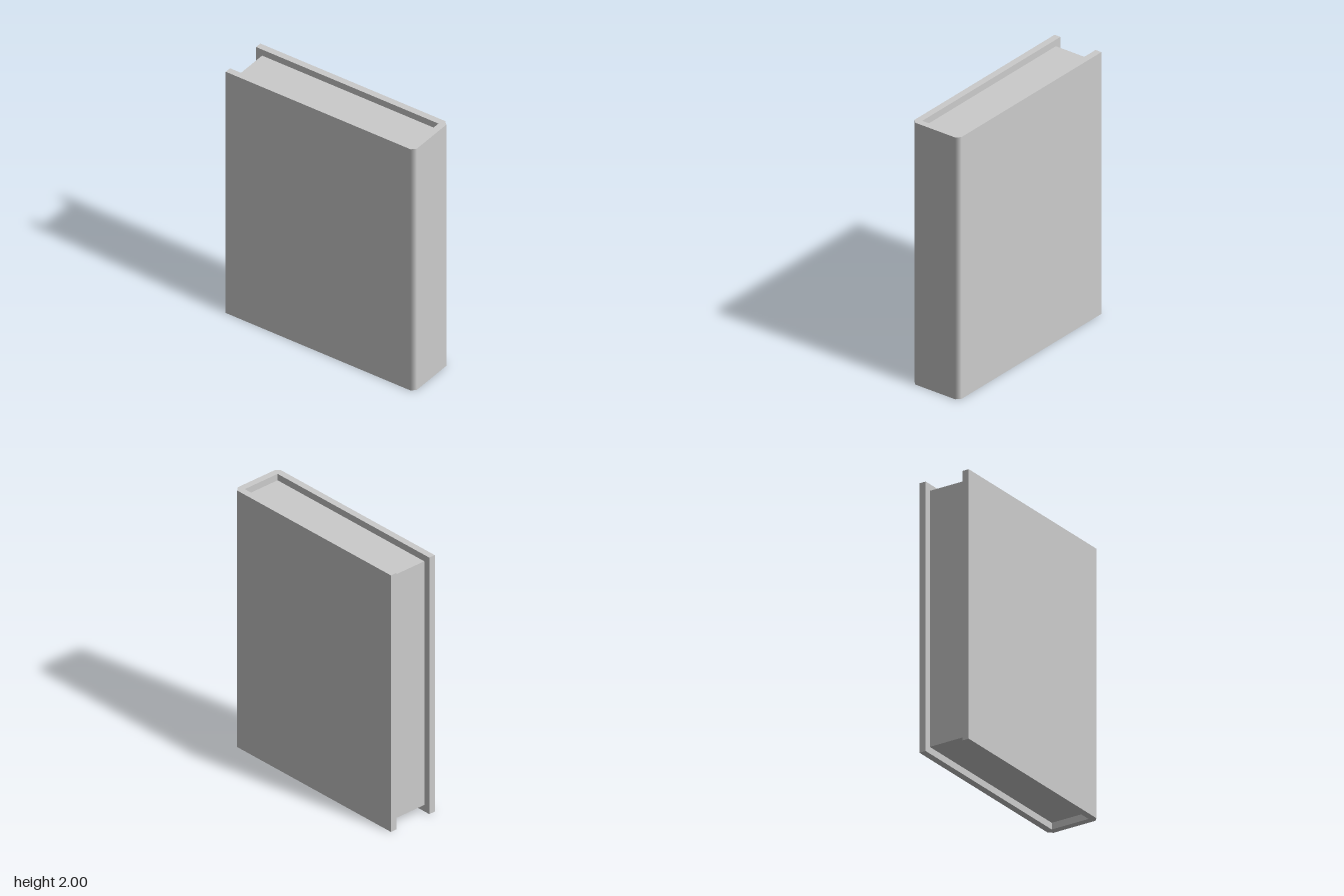
import * as THREE from 'three';

const WIDTH = 0.4, HEIGHT = 2, DEPTH = 1.56;
const BOARD = 0.05;   // cover thickness
const BEVEL = 0.03;   // softened spine edges
const INSET = 0.05;   // pages sit back from the cover edges

// U-shaped cover: two boards joined by a spine at the front
function coverGeometry() {
  const x = WIDTH / 2, z = DEPTH / 2;
  const outline = [
    [-x, -z], [-x, z - BEVEL], [-x + BEVEL, z], [x - BEVEL, z], [x, z - BEVEL], [x, -z],
    [x - BOARD, -z], [x - BOARD, z - BOARD], [-x + BOARD, z - BOARD], [-x + BOARD, -z],
  ].map(([px, pz]) => new THREE.Vector2(px, -pz));
  const geometry = new THREE.ExtrudeGeometry(new THREE.Shape(outline), { depth: HEIGHT, bevelEnabled: false });
  geometry.rotateX(-Math.PI / 2);

  // Blend the bevels smoothly into the flat boards and spine
  const p = geometry.attributes.position, n = geometry.attributes.normal;
  for (let i = 0; i < p.count; i++) {
    if (Math.abs(n.getX(i)) < 0.1 || Math.abs(n.getZ(i)) < 0.1) continue;
    if (p.getZ(i) > z - BEVEL / 2) n.setXYZ(i, 0, 0, 1);
    else n.setXYZ(i, Math.sign(p.getX(i)), 0, 0);
  }
  return geometry;
}

export function createModel() {
  const group = new THREE.Group();
  group.name = 'book';
  const material = new THREE.MeshStandardMaterial({ color: 0xcccccc });

  const cover = new THREE.Mesh(coverGeometry(), material);
  cover.name = 'cover';

  // Page block between the boards
  const pages = new THREE.Mesh(
    new THREE.BoxGeometry(WIDTH - 2 * BOARD, HEIGHT - 2 * INSET, DEPTH - BOARD - INSET), material);
  pages.name = 'pages';
  pages.position.y = HEIGHT / 2;

  group.add(cover, pages);
  return group;
}
